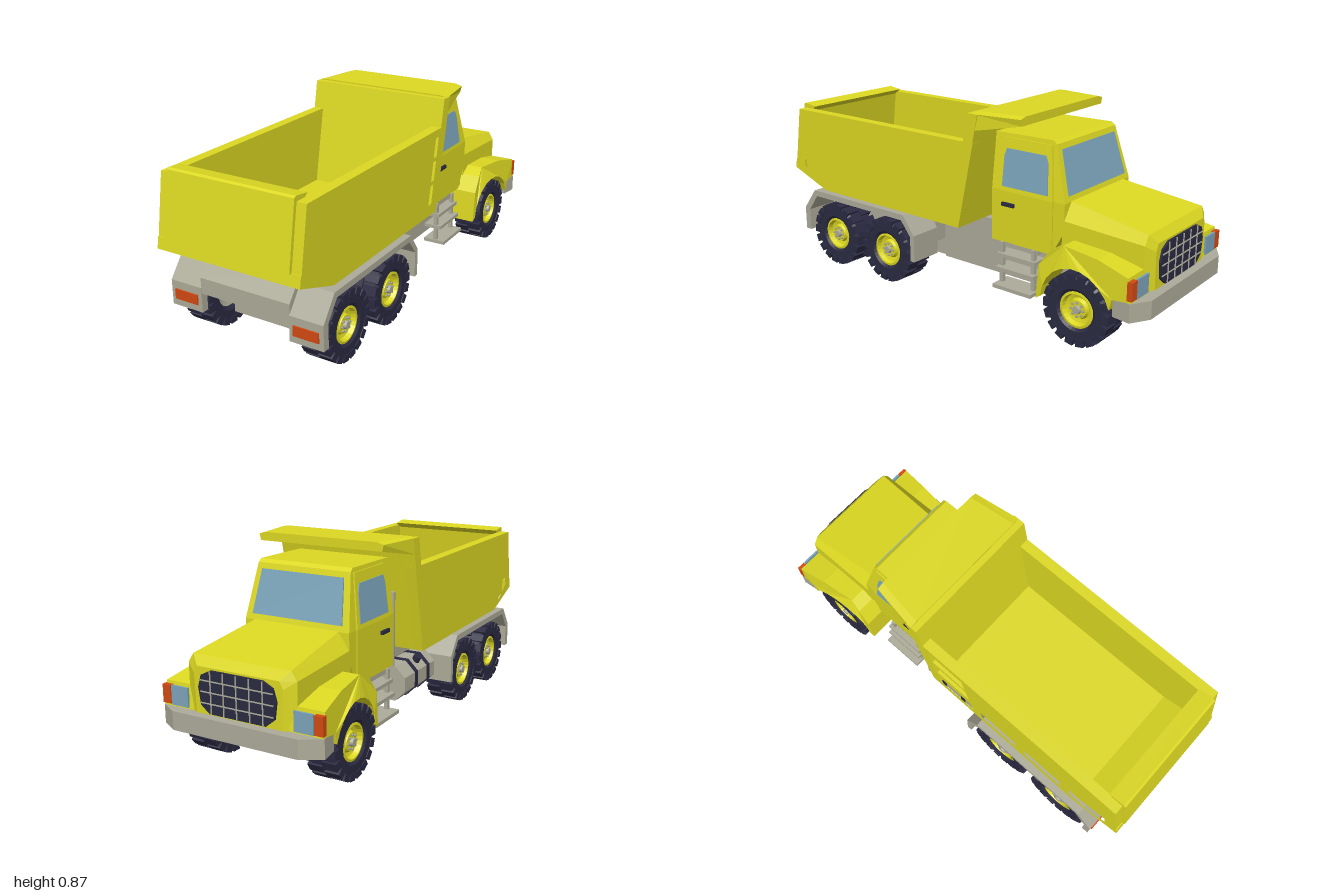
import * as THREE from 'three';

const mat = (name, color) => { const m = new THREE.MeshStandardMaterial({ color }); m.name = name; return m; };
const M = {
  yellow: mat('body yellow', 0xdcd822), grey: mat('chassis grey', 0xadab99), navy: mat('rubber navy', 0x2b2a42),
  glass: mat('glass blue', 0x7ba4ba), orange: mat('lamp orange', 0xd24a12),
};

// Flat-faced copy of a geometry
function flat(g) {
  const n = g.index ? g.toNonIndexed() : g;
  n.computeVertexNormals();
  return n;
}
function bend(g, rule) {
  const p = g.attributes.position, v = new THREE.Vector3();
  for (let i = 0; i < p.count; i++) { v.fromBufferAttribute(p, i); rule(v); p.setXYZ(i, v.x, v.y, v.z); }
  return flat(g);
}
// Side profile of [z, y] points, extruded across x
function prism(points, x0, x1, holes = []) {
  const v2 = (l) => l.map(([z, y]) => new THREE.Vector2(-z, y));
  const s = new THREE.Shape(v2(points));
  s.holes = holes.map((h) => new THREE.Path(v2(h)));
  const a = Math.min(x0, x1), b = Math.max(x0, x1);
  return new THREE.ExtrudeGeometry(s, { depth: b - a, bevelEnabled: false }).rotateY(Math.PI / 2).translate(a, 0, 0);
}
// Skin over mirrored half sections [z, [[x, y], ...]], low z first, points from bottom to top
function loft(sections) {
  const rings = sections.map(([z, half]) =>
    [...half, ...half.slice().reverse().map(([x, y]) => [-x, y])].map(([x, y]) => [x, y, z]));
  const n = rings[0].length, last = rings.length - 1, out = [];
  for (let k = 0; k < last; k++) for (let i = 0; i < n; i++) {
    const j = (i + 1) % n, a = rings[k][i], b = rings[k][j], c = rings[k + 1][j], d = rings[k + 1][i];
    out.push(...a, ...b, ...c, ...a, ...c, ...d);
  }
  for (let i = 1; i < n - 1; i++) {
    out.push(...rings[last][0], ...rings[last][i], ...rings[last][i + 1]);
    out.push(...rings[0][0], ...rings[0][i + 1], ...rings[0][i]);
  }
  const g = new THREE.BufferGeometry();
  g.setAttribute('position', new THREE.Float32BufferAttribute(out, 3));
  return flat(g);
}
const box = (x0, x1, y0, y1, z0, z1) =>
  new THREE.BoxGeometry(Math.abs(x1 - x0), y1 - y0, z1 - z0).translate((x0 + x1) / 2, (y0 + y1) / 2, (z0 + z1) / 2);
const lathe = (pts, n) => flat(new THREE.LatheGeometry(pts.map(([r, y]) => new THREE.Vector2(r, y)), n));
const SIDES = [1, -1];

export function createModel() {
  const root = new THREE.Group();
  root.name = 'dumpTruck';
  const add = (name, geo, material, parent = root) => {
    const m = new THREE.Mesh(geo, material);
    m.name = name;
    parent.add(m);
    return m;
  };
  const rod = (name, a, b, r, material, n = 10) => {
    const A = new THREE.Vector3(...a), B = new THREE.Vector3(...b), d = B.clone().sub(A);
    const m = add(name, new THREE.CylinderGeometry(r, r, d.length(), n), material);
    m.position.copy(A).add(B).multiplyScalar(0.5);
    m.quaternion.setFromUnitVectors(new THREE.Vector3(0, 1, 0), d.normalize());
  };

  // Chassis
  add('mainFrame', box(-0.15, 0.15, 0.11, 0.355, -0.5, 0.16), M.grey);
  add('lowerFrame', box(-0.145, 0.145, 0.115, 0.2, 0.16, 0.78), M.grey);
  add('rearFrame', box(-0.215, 0.215, 0.2, 0.357, 0.16, 0.82), M.grey);
  add('gearbox', prism([[-0.02, 0.115], [-0.1, 0.1], [-0.34, 0.1], [-0.4, 0.115]], -0.047, 0.047), M.grey);
  add('rearCrossmember', prism([[0.8, 0.38], [0.83, 0.38], [0.895, 0.3], [0.895, 0.23], [0.85, 0.2], [0.78, 0.2]], -0.215, 0.215), M.grey);
  add('frontFrame', prism([[-0.5, 0.32], [-0.5, 0.13], [-0.8, 0.16], [-0.93, 0.2], [-0.93, 0.32]], -0.2, 0.2), M.grey);

  // Bumper
  const plan = [[-0.372, 0.95], [-0.36, 0.87], [0.36, 0.87], [0.372, 0.95], [0.29, 0.998], [-0.29, 0.998]];
  add('bumper', new THREE.ExtrudeGeometry(new THREE.Shape(plan.map((p) => new THREE.Vector2(...p))),
    { depth: 0.078, bevelEnabled: false }).rotateX(-Math.PI / 2).translate(0, 0.183, 0), M.grey);

  // Dump body
  add('bedFloor', prism([[-0.08, 0.355], [0.775, 0.358], [0.99, 0.437], [0.98, 0.475], [0.77, 0.4], [-0.08, 0.4]], -0.3, 0.3), M.yellow);
  add('bedFrontWall', prism([[-0.08, 0.355], [-0.04, 0.37], [-0.135, 0.866], [-0.19, 0.866]], -0.335, 0.335), M.yellow);
  add('canopy', loft([
    [-0.387, [[0.295, 0.838], [0.302, 0.866], [0.27, 0.875]]],
    [-0.165, [[0.335, 0.795], [0.335, 0.866], [0.3, 0.872]]],
  ]), M.yellow);
  add('tailgateSill', prism([[0.992, 0.437], [0.984, 0.486], [0.93, 0.486], [0.93, 0.42]], -0.335, 0.335), M.yellow);
  add('tailgate', prism([[0.994, 0.487], [0.95, 0.758], [0.94, 0.765], [0.87, 0.755], [0.9, 0.73], [0.935, 0.47]], -0.292, 0.292), M.yellow);
  const wall = [[-0.08, 0.355], [0.775, 0.358], [0.988, 0.437], [0.937, 0.742], [-0.165, 0.742]];
  const slant = (z0, z1, y0, y1) => {
    const k = (y) => (0.706 - y) * 0.19;
    return [[z0 + k(y1), y1], [z1 + k(y1), y1], [z1 + k(y0), y0], [z0 + k(y0), y0]];
  };
  const panels = [
    [[0.877, 0.706], [0.674, 0.706], [0.734, 0.406], [0.84, 0.406], [0.925, 0.462]],
    slant(0.626, 0.422, 0.406, 0.706), slant(0.369, 0.166, 0.406, 0.706),
    ...[0.406, 0.513, 0.618].map((y) => slant(0.107, -0.09, y, y + 0.088)),
  ];
  // Load box ends at the side walls, which carry recessed panels
  for (const s of SIDES) {
    add('bedSideLining', prism(wall, s * 0.288, s * 0.316), M.yellow);
    add('bedSideFrame', prism(wall, s * 0.316, s * 0.335, panels), M.yellow);
  }

  // Lift ram and exhaust
  rod('liftRamBody', [0, 0.35, -0.18], [0, 0.52, -0.15], 0.028, M.grey, 12);
  rod('liftRamRod', [0, 0.5, -0.153], [0, 0.66, -0.13], 0.017, M.grey, 12);
  rod('exhaustPipe', [-0.235, 0.3, -0.185], [-0.235, 0.63, -0.185], 0.014, M.grey);

  // Cab, narrowing above the window sill
  const taper = (v) => { if (v.y > 0.54) v.x *= 1 - 0.5 * (v.y - 0.54); };
  add('cabLower', prism([[-0.2, 0.31], [-0.2, 0.54], [-0.57, 0.54], [-0.57, 0.42], [-0.51, 0.31]], -0.25, 0.25), M.yellow);
  add('cabUpper', bend(prism([[-0.2, 0.54], [-0.2, 0.78], [-0.49, 0.784], [-0.507, 0.77], [-0.57, 0.54]], -0.25, 0.25), taper), M.yellow);
  const ws = (t, o) => [-0.57 + 0.065 * t - 0.96 * o, 0.54 + 0.24 * t + 0.26 * o];
  add('windshield', bend(prism([ws(0.1, 0), ws(0.86, 0), ws(0.86, 0.006), ws(0.1, 0.006)], -0.218, 0.218), taper), M.glass);
  for (const s of SIDES) {
    add('door', prism([[-0.245, 0.325], [-0.245, 0.54], [-0.515, 0.54], [-0.515, 0.325]], s * 0.25, s * 0.256), M.yellow);
    add('doorFrame', bend(prism([[-0.245, 0.54], [-0.25, 0.765], [-0.49, 0.765], [-0.515, 0.54]], s * 0.249, s * 0.256), taper), M.yellow);
    add('sideWindow', bend(prism([[-0.258, 0.56], [-0.258, 0.69], [-0.268, 0.72], [-0.465, 0.72], [-0.478, 0.69], [-0.49, 0.56]],
      s * 0.252, s * 0.26), taper), M.glass);
    add('doorHandle', box(s * 0.256, s * 0.268, 0.477, 0.492, -0.325, -0.262), M.navy);

    // Steps
    for (const z of [-0.26, -0.425]) add('stepRail', box(s * 0.245, s * 0.262, 0.12, 0.312, z - 0.009, z + 0.009), M.grey);
    [[0.115, 0.305], [0.19, 0.285], [0.25, 0.275]].forEach(([y, x]) =>
      add('step', box(s * 0.2, s * x, y, y + 0.016, -0.445, -0.245), M.grey));
    add('stepBracket', box(s * 0.14, s * 0.25, 0.29, 0.312, -0.44, -0.25), M.grey);
  }

  // Hood with chamfered edges
  add('hood', loft([
    [-0.96, [[0.2, 0.26], [0.205, 0.42], [0.19, 0.45]]],
    [-0.935, [[0.25, 0.26], [0.25, 0.45], [0.225, 0.488]]],
    [-0.56, [[0.25, 0.3], [0.25, 0.47], [0.2, 0.543]]],
  ]), M.yellow);

  // Grille with bars
  const gs = new THREE.Shape([[-0.13, 0.268], [0.13, 0.268], [0.17, 0.3], [0.18, 0.37], [0.165, 0.42], [0.12, 0.442],
    [-0.12, 0.442], [-0.165, 0.42], [-0.18, 0.37], [-0.17, 0.3]].map((p) => new THREE.Vector2(...p)));
  add('grille', new THREE.ExtrudeGeometry(gs, { depth: 0.009, bevelEnabled: false }).translate(0, 0, -0.969), M.navy);
  for (const x of [-0.12, -0.06, 0, 0.06, 0.12]) add('grilleBar', box(x - 0.002, x + 0.002, 0.27, 0.44, -0.973, -0.966), M.grey);
  for (const y of [0.31, 0.355, 0.4]) add('grilleBar', box(-0.168, 0.168, y - 0.002, y + 0.002, -0.973, -0.966), M.grey);

  // Front fenders around the wheel openings
  const arch = [];
  for (let i = 0; i <= 10; i++) {
    const a = Math.PI * (0.1 + 0.88 * i / 10);
    arch.push([-0.695 - 0.172 * Math.cos(a), 0.155 + 0.172 * Math.sin(a)]);
  }
  const fender = [[-0.5, 0.15], [-0.513, 0.3], [-0.565, 0.37], [-0.62, 0.4], [-0.79, 0.39], [-0.935, 0.358], [-0.952, 0.262], [-0.87, 0.255], ...arch];
  const flare = (v) => {
    if (Math.abs(v.x) > 0.3) v.x -= Math.sign(v.x) * (Math.max(0, v.y - 0.355) * 0.6 + Math.max(0, v.z + 0.8) * 0.09);
  };
  for (const s of SIDES) {
    add('frontFender', bend(prism(fender, s * 0.22, s * 0.368), flare), M.yellow);
    add('headlight', box(s * 0.245, s * 0.328, 0.268, 0.348, -0.957, -0.948), M.glass);
    add('frontMarker', box(s * 0.332, s * 0.371, 0.27, 0.346, -0.957, -0.935), M.orange);

    // Rear fenders and lamps
    add('rearFender', prism([[0.898, 0.145], [0.898, 0.255], [0.82, 0.357], [0.22, 0.357], [0.155, 0.27], [0.155, 0.145],
      [0.178, 0.145], [0.178, 0.262], [0.232, 0.33], [0.805, 0.33], [0.865, 0.25], [0.865, 0.145]], s * 0.213, s * 0.368), M.grey);
    add('rearLamp', box(s * 0.232, s * 0.348, 0.176, 0.22, 0.895, 0.904), M.orange);
  }

  // Fuel tank with straps on one side
  const tank = (z0, z1, r) => new THREE.CylinderGeometry(r, r, z1 - z0, 8).rotateY(Math.PI / 8)
    .rotateX(Math.PI / 2).translate(-0.215, 0.215, (z0 + z1) / 2);
  add('fuelTank', flat(tank(-0.17, 0.13, 0.085)), M.grey);
  for (const z of [-0.06, 0.06]) add('tankStrap', flat(tank(z - 0.012, z + 0.012, 0.089)), M.navy);
  rod('tankCap', [-0.255, 0.27, 0.0], [-0.272, 0.3, 0.0], 0.018, M.navy);

  // Wheels: chunky tyre, dished rim and bolted hub
  const tyreGeo = lathe([[0.075, -0.05], [0.09, -0.062], [0.13, -0.062], [0.144, -0.05], [0.144, 0.05], [0.13, 0.062],
    [0.09, 0.062], [0.075, 0.05], [0.075, -0.05]], 32);
  const rimGeo = lathe([[0.076, 0.03], [0.078, 0.054], [0.068, 0.056], [0.062, 0.035], [0.045, 0.03], [0.038, 0.046], [0, 0.046]], 24);
  const backGeo = lathe([[0, -0.035], [0.04, -0.035], [0.076, -0.045], [0.076, 0.02]], 24);
  const hubGeo = new THREE.CylinderGeometry(0.016, 0.02, 0.02, 10).translate(0, 0.05, 0);
  const boltGeo = new THREE.CylinderGeometry(0.005, 0.005, 0.01, 6);
  const lugGeo = new THREE.BoxGeometry(0.03, 0.064, 0.036);
  for (const z of [-0.698, 0.35, 0.695]) {
    rod('axle', [-0.25, 0.153, z], [0.25, 0.153, z], 0.025, M.grey);
    for (const s of SIDES) {
      const wheel = new THREE.Group();
      wheel.name = z < 0 ? 'frontWheel' : 'rearWheel';
      wheel.position.set(s * 0.288, 0.153, z);
      wheel.rotation.z = -s * Math.PI / 2;
      root.add(wheel);
      add('tyre', tyreGeo, M.navy, wheel);
      add('rim', rimGeo, M.yellow, wheel);
      add('rimBack', backGeo, M.grey, wheel);
      add('hub', hubGeo, M.grey, wheel);
      for (let i = 0; i < 8; i++) {
        const a = i * Math.PI / 4;
        add('bolt', boltGeo, M.grey, wheel).position.set(0.029 * Math.cos(a), 0.049, 0.029 * Math.sin(a));
      }
      for (let i = 0; i < 36; i++) {
        const a = i * Math.PI / 18, lug = add('treadBlock', lugGeo, M.navy, wheel);
        lug.position.set(0.137 * Math.cos(a), i % 2 ? 0.034 : -0.034, -0.137 * Math.sin(a));
        lug.rotation.y = a;
      }
    }
  }
  return root;
}
